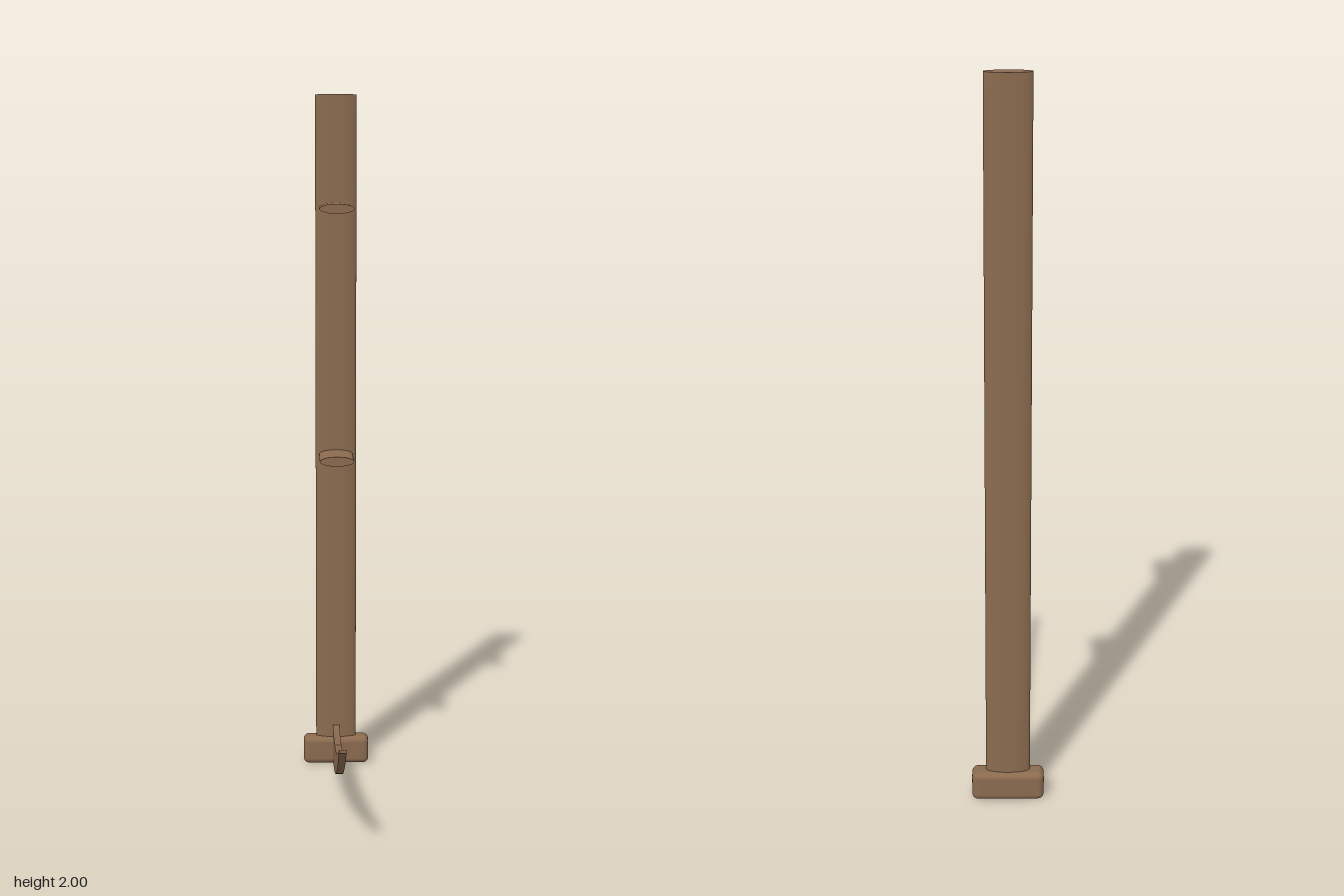
import * as THREE from 'three';
import { RoundedBoxGeometry } from 'three/addons/geometries/RoundedBoxGeometry.js';

export function createModel() {
  const group = new THREE.Group();
  const wood = new THREE.MeshStandardMaterial({ color: 0x8b6b4f });
  wood.name = 'brown wood';
  const shaftZ = -0.396;

  const add = (name, geometry, x, y, z) => {
    const mesh = new THREE.Mesh(geometry, wood);
    mesh.name = name;
    mesh.position.set(x, y, z);
    group.add(mesh);
  };

  // Upright shaft with a flat oval section
  const shaft = new THREE.CylinderGeometry(1, 1, 1.96, 48).scale(0.06, 1, 0.019);
  add('shaft', shaft, 0, 1.02, shaftZ);

  // Two oval grips pointing forward
  const gripEnd = -0.233;
  const gripLength = gripEnd - shaftZ;
  for (const [name, y] of [['lowerGrip', 0.95], ['upperGrip', 1.675]]) {
    const grip = new THREE.CylinderGeometry(1, 1, gripLength, 40)
      .rotateX(Math.PI / 2)
      .scale(0.05, 0.014, 1);
    add(name, grip, 0, y, shaftZ + gripLength / 2);
  }

  // Rounded block joining shaft and blade
  add('mountBlock', new RoundedBoxGeometry(0.196, 0.083, 0.062, 5, 0.017), 0, 0.0415, -0.397);

  // Curved blade: side profile drawn as (z, y), extruded across x
  const profile = new THREE.Shape();
  profile.moveTo(-0.39, 0.029);
  profile.quadraticCurveTo(0, 0.029, 0.427, 0.289);
  profile.lineTo(0.427, 0.298);
  profile.quadraticCurveTo(0.01, 0.119, -0.39, 0.119);
  profile.closePath();
  const blade = new THREE.ExtrudeGeometry(profile, { depth: 0.02, bevelEnabled: false, curveSegments: 32 })
    .rotateY(-Math.PI / 2);
  add('blade', blade, 0.01, 0, 0);

  return group;
}
